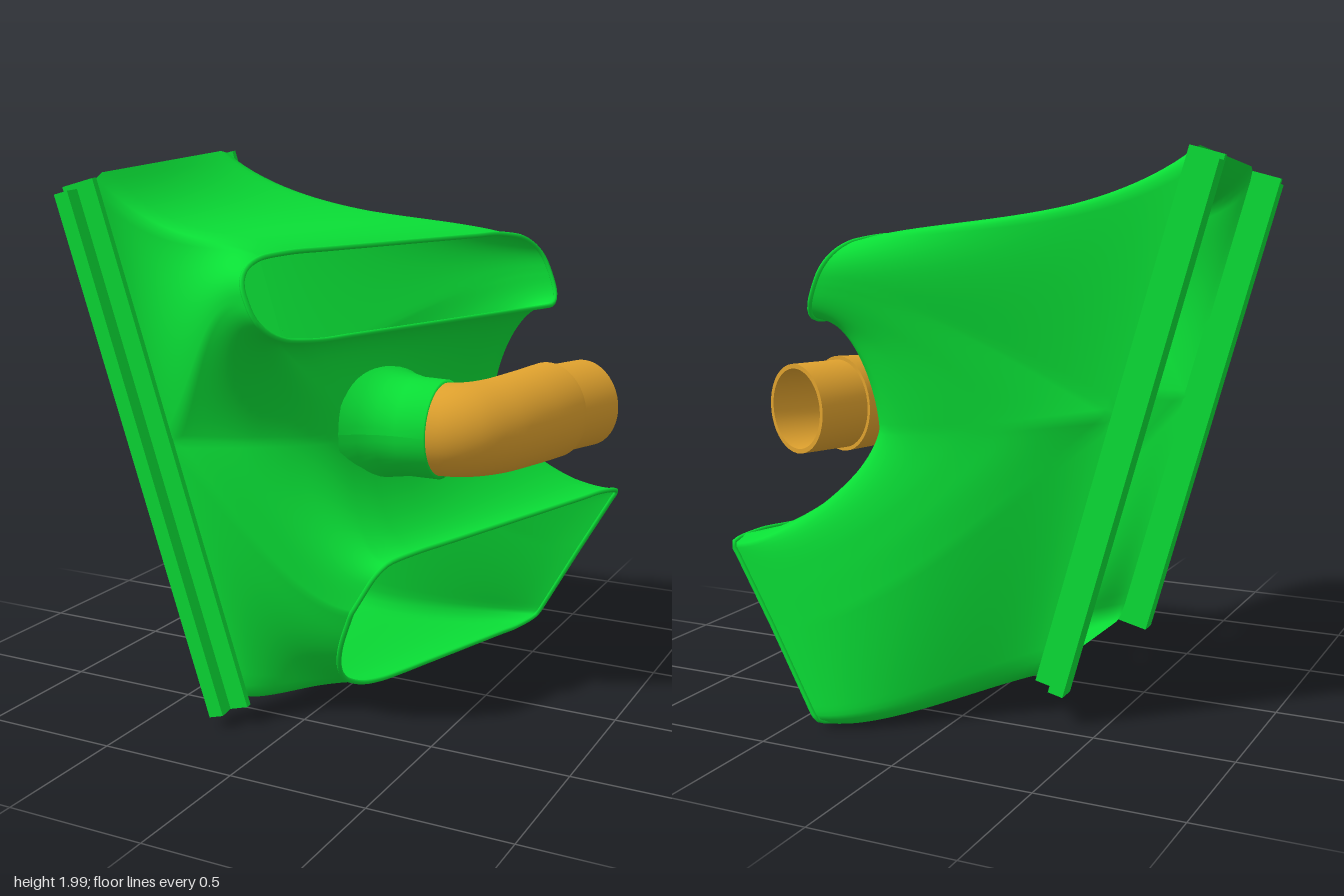
import * as THREE from 'three';
import { mergeGeometries, mergeVertices } from 'three/addons/utils/BufferGeometryUtils.js';

const V = (x, y, z) => new THREE.Vector3(x, y, z);

// Path through points with softened corners; each inner point has a [before, after] radius
function roundedPath(pts, radii) {
  const path = new THREE.CurvePath();
  let from = pts[0];
  for (let i = 1; i < pts.length - 1; i++) {
    const p = pts[i], [r0, r1] = radii[i - 1];
    const a = p.clone().add(pts[i - 1].clone().sub(p).setLength(r0));
    const b = p.clone().add(pts[i + 1].clone().sub(p).setLength(r1));
    path.add(new THREE.LineCurve3(from, a));
    path.add(new THREE.QuadraticBezierCurve3(a, p, b));
    from = b;
  }
  path.add(new THREE.LineCurve3(from, pts[pts.length - 1]));
  return path;
}

// Sample a U-shaped path so its two sides and its middle each get a third of the points
function sampleU(path, f0, f1, n, get = 'getPoint') {
  const out = [];
  for (let i = 0; i <= n; i++) {
    const v = (i / n) * 3;
    const t = v < 1 ? v * f0 : v < 2 ? f0 + (v - 1) * (1 - f0 - f1) : 1 - (3 - v) * f1;
    out.push(path[get](Math.min(Math.max(t, 0), 1)));
  }
  return out;
}

// Surface through rows of points, each row closed on itself
function loft(rows, flip = false) {
  const n = rows[0].length, pos = [], idx = [];
  rows.forEach(r => r.forEach(p => pos.push(p.x, p.y, p.z)));
  for (let j = 0; j < rows.length - 1; j++) for (let i = 0; i < n; i++) {
    const a = j * n + i, b = j * n + (i + 1) % n, c = a + n, d = b + n;
    if (flip) idx.push(a, c, b, b, c, d); else idx.push(a, b, c, b, d, c);
  }
  const g = new THREE.BufferGeometry();
  g.setAttribute('position', new THREE.Float32BufferAttribute(pos, 3));
  g.setIndex(idx);
  g.computeVertexNormals();
  return g;
}

export function createModel() {
  const group = new THREE.Group();
  const green = new THREE.MeshStandardMaterial({ color: 0x0ae036, side: THREE.DoubleSide });
  green.name = 'green';
  const amber = new THREE.MeshStandardMaterial({ color: 0xe0a22e, side: THREE.DoubleSide });
  amber.name = 'amber';
  const add = (name, geo, mat) => {
    const m = new THREE.Mesh(geo, mat);
    m.name = name;
    group.add(m);
    return m;
  };

  // Inlet corners (top/bottom, front/back) and the middle of each long side
  const TF = V(-0.66, 1.94, 0.745), TB = V(-0.74, 2.0, -0.24);
  const BF = V(-0.17, 0.08, 0.61), BB = V(-0.25, 0.15, -0.385);
  const FM = TF.clone().lerp(BF, 0.49), BM = TB.clone().lerp(BB, 0.49);

  // Line on which the two branches part, from inlet front round the crotch to inlet back
  const seam = new THREE.CatmullRomCurve3([FM, V(-0.12, 1.04, 0.6), V(0.07, 1.04, 0.45),
    V(0.16, 1.05, 0.2), V(0.2, 1.05, -0.1), V(0.25, 1.04, -0.4), V(0.29, 1.03, -0.56),
    V(0.2, 1.03, -0.575), V(-0.15, 1.05, -0.46), BM], false, 'centripetal');

  // Outlet rims lie on slanting planes
  const upperRim = (y, z) => V(0.255 - 0.4 * (y - 1.7) - 0.305 * (z + 0.2), y, z);
  const lowerRim = (y, z) => V(0.74 + 0.57 * (y - 0.66) - 0.3 * (z + 0.81), y, z);
  const N = 60, STEPS = 28;

  // One branch: sign is +1 for the upper and -1 for the lower
  function branch(sign, inletCorners, outer, inner) {
    const start = sampleU(roundedPath([FM, ...inletCorners, BM], [[0.06, 0.06], [0.06, 0.06]]), 0.33, 0.33, N);
    const seamPts = sampleU(seam, 0.27, 0.36, N, 'getPointAt').reverse();
    const end = sampleU(roundedPath(outer.pts, outer.r), outer.f0, outer.f1, N);
    const endSeam = sampleU(roundedPath(inner.pts, inner.r), inner.f0, inner.f1, N).reverse();
    const P0 = [...start.slice(0, N), ...seamPts.slice(0, N)];
    const P1 = [...end.slice(0, N), ...endSeam.slice(0, N)];
    const rows = [];
    for (let j = 0; j <= STEPS; j++) {
      const t = j / STEPS, t2 = t * t, t3 = t2 * t;
      rows.push(P0.map((p, i) => {
        const c = P1[i].clone().sub(p), d = c.length();
        const w = i < N ? 0 : Math.min(1, 1.6 * Math.sin(Math.PI * (i - N) / N));
        const T0 = V(c.x, c.y * 1.2, c.z * 0.5).lerp(V(c.x * 0.15, sign * 0.5, c.z * 0.2), w);
        const T1 = V(d * 0.8, 0, c.z * 0.3);
        // the upper branch dips steeply behind its top edge and waists in at the front
        if (sign > 0 && i < N) {
          const a = Math.PI * i / N, top = Math.min(1, 1.3 * Math.sin(a) ** 2);
          T0.lerp(V(c.x * 0.85, -0.9, c.z * 0.3), top * Math.sin(a) ** 2);
          T0.z -= 0.8 * top * Math.max(0, Math.cos(a));
          T1.y = -0.3 * top * Math.sin(a) ** 2;
        }
        return V(0, 0, 0).addScaledVector(p, 2 * t3 - 3 * t2 + 1).addScaledVector(T0, t3 - 2 * t2 + t)
          .addScaledVector(P1[i], 3 * t2 - 2 * t3).addScaledVector(T1, t3 - t2);
      }));
    }
    return { geo: loft(rows, sign < 0), rim: P1 };
  }

  // Upper branch ending in a long slot
  const uf = upperRim(1.555, 0.84), ub = upperRim(1.53, -0.675);
  const upper = branch(1, [TF, TB],
    { pts: [uf, upperRim(1.695, 0.84), upperRim(1.69, -0.67), ub], r: [[0.135, 0.25], [0.25, 0.15]], f0: 0.12, f1: 0.12 },
    { pts: [uf, upperRim(1.41, 0.84), upperRim(1.405, -0.67), ub], r: [[0.14, 0.25], [0.08, 0.11]], f0: 0.12, f1: 0.1 });
  // Lower branch ending in a rectangle with one swept corner
  const lf = lowerRim(0.46, 0.55), lb = lowerRim(0.36, -0.825);
  const lower = branch(-1, [BF, BB],
    { pts: [lf, lowerRim(0.04, 0.42), lowerRim(0.015, -0.835), lb], r: [[0.4, 0.42], [0.07, 0.07]], f0: 0.22, f1: 0.18 },
    { pts: [lf, lowerRim(0.655, 0.54), lowerRim(0.655, -0.825), lb], r: [[0.1, 0.1], [0.04, 0.04]], f0: 0.12, f1: 0.16 });

  // Both branches welded into one smooth shell
  const shell = mergeVertices(mergeGeometries([upper.geo, lower.geo].map(g => g.deleteAttribute('normal'))), 1e-4);
  shell.computeVertexNormals();
  add('ductBody', shell, green);

  // Thin lips round both outlets
  [['upperOutletRim', upper.rim], ['lowerOutletRim', lower.rim]].forEach(([name, pts]) => {
    const curve = new THREE.CatmullRomCurve3(pts.filter((p, i) => i % 2 === 0), true);
    add(name, new THREE.TubeGeometry(curve, 160, 0.009, 6, true), green);
  });

  // L-shaped mounting rails along the long sides of the inlet
  const up = TF.clone().sub(BF).normalize();
  const across = TF.clone().sub(TB);
  across.addScaledVector(up, -across.dot(up)).normalize();
  const out = up.clone().cross(across).normalize();
  const basis = new THREE.Matrix4().makeBasis(out, up, across);
  const rail = (name, a, b, side) => {
    const web = new THREE.BoxGeometry(0.125, 1.92, 0.025).translate(-0.0525, -0.01, side * 0.0125);
    const lip = new THREE.BoxGeometry(0.055, 1.9, 0.085).translate(-0.0875, -0.02, side * 0.0425);
    const m = add(name, mergeGeometries([web, lip]), green);
    m.applyMatrix4(basis);
    m.position.copy(a).lerp(b, 0.5);
  };
  rail('frontRail', TF, BF, 1);
  rail('backRail', TB, BB, -1);

  // Flared boss that carries the side pipe, its foot drawn out towards the back
  const boss = new THREE.LatheGeometry([[0.25, 0.1], [0.212, 0.15], [0.188, 0.21], [0.177, 0.28],
    [0.177, 0.39], [0.16, 0.39]].map(([r, h]) => new THREE.Vector2(r, h)), 48);
  boss.rotateZ(-Math.PI / 2);
  const bp = boss.attributes.position;
  for (let i = 0; i < bp.count; i++) {
    const z = bp.getZ(i);
    if (z < 0) bp.setZ(i, z * (1 + 3 * (0.39 - bp.getX(i))));
  }
  boss.translate(0, 1.05, 0.17).computeVertexNormals();
  add('pipeBoss', boss, green);

  // Elbow pipe: swelling bend, step, straight spigot and bore
  const bend = new THREE.CatmullRomCurve3([V(0.375, 1.05, 0.17), V(0.45, 1.05, 0.145),
    V(0.52, 1.05, 0.05), V(0.575, 1.055, -0.1), V(0.62, 1.06, -0.28)]);
  const ring = (c, dir, r) => {
    const side = V(0, 1, 0).cross(dir).normalize();
    return Array.from({ length: 40 }, (_, i) => {
      const a = (i / 40) * Math.PI * 2;
      return c.clone().addScaledVector(side, r * Math.cos(a)).add(V(0, r * Math.sin(a), 0));
    });
  };
  const bendRows = (r0, r1) => Array.from({ length: 25 }, (_, i) => {
    const t = i / 24, dir = bend.getTangentAt(t).lerp(V(0.37, 0, -0.93), t ** 4);
    if (i === 0) dir.set(1, 0, 0);
    return ring(bend.getPointAt(t), dir, r0 + (r1 - r0) * t);
  });
  const J = V(0.62, 1.06, -0.28), E = V(0.692, 1.06, -0.47), D = V(0.37, 0, -0.93);
  add('elbowPipe', loft(bendRows(0.165, 0.179)), amber);
  add('pipeStep', loft([ring(J, D, 0.179), ring(J, D, 0.165)]), amber);
  add('pipeSpigot', loft([ring(J, D, 0.165), ring(E, D, 0.165)]), amber);
  add('pipeEnd', loft([ring(E, D, 0.165), ring(E, D, 0.148)]), amber);
  add('pipeBore', loft([...bendRows(0.146, 0.148), ring(E, D, 0.148)], true), amber);

  return group;
}
